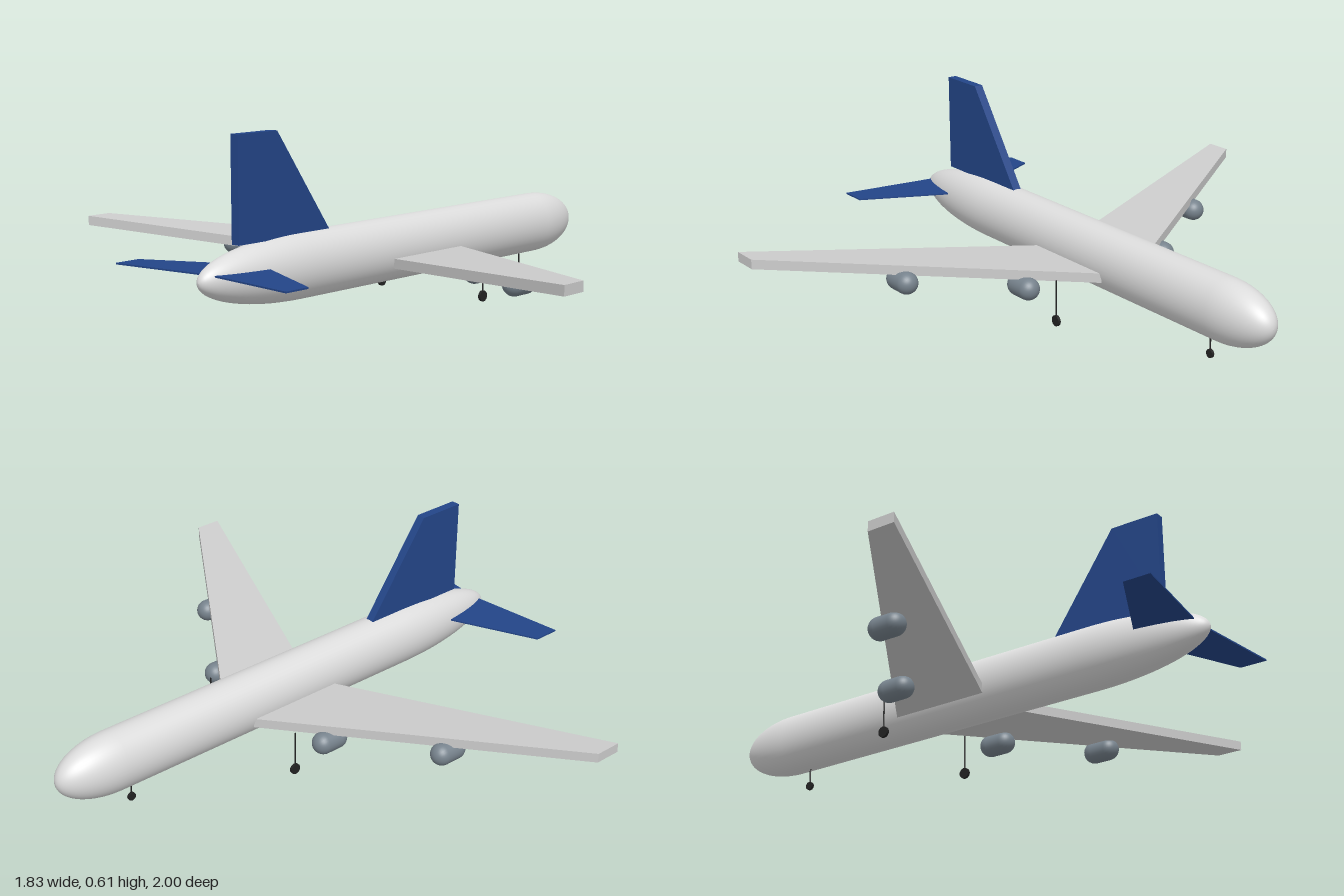
import * as THREE from 'three';

const material = (name, color) => {
  const m = new THREE.MeshStandardMaterial({ color });
  m.name = name;
  return m;
};

export function createModel() {
  const group = new THREE.Group();
  const hullPaint = material('hullLightGrey', 0xdcdcdc);
  const wingPaint = material('wingGrey', 0xcccccc);
  const tailPaint = material('tailBlue', 0x234588);
  const enginePaint = material('engineSteel', 0x77838d);
  const gearPaint = material('gearBlack', 0x222222);

  const add = (name, geometry, mat, x = 0, y = 0, z = 0) => {
    const mesh = new THREE.Mesh(geometry, mat);
    mesh.name = name;
    mesh.position.set(x, y, z);
    group.add(mesh);
    return mesh;
  };

  const outline = (points) => new THREE.Shape(points.map(([x, y]) => new THREE.Vector2(x, y)));

  // Flat slab from (x, span) corners, laid level and raised by a dihedral rule
  const slab = (points, side, thickness, height) => {
    const shape = outline(points.map(([x, s]) => [x, s * side]));
    const g = new THREE.ExtrudeGeometry(shape, { depth: thickness, bevelEnabled: false });
    g.translate(0, 0, -thickness / 2);
    g.rotateX(Math.PI / 2);
    const p = g.attributes.position;
    for (let i = 0; i < p.count; i++) p.setY(i, p.getY(i) + height(Math.abs(p.getZ(i))));
    g.computeVertexNormals();
    return g;
  };

  // Fuselage: long elliptical tail, straight barrel, short rounded nose
  const profile = [];
  const steps = 20;
  for (let i = 0; i <= steps; i++) {
    const a = (i / steps) * Math.PI / 2;
    profile.push(new THREE.Vector2(Math.sin(a), -0.5 - 0.41 * Math.cos(a)));
  }
  for (let i = 0; i <= steps; i++) {
    const a = (i / steps) * Math.PI / 2;
    profile.push(new THREE.Vector2(Math.max(0, Math.cos(a)), 0.7 + 0.21 * Math.sin(a)));
  }
  const hull = new THREE.LatheGeometry(profile, 48);
  hull.scale(0.104, 1, 0.087);
  hull.rotateZ(-Math.PI / 2);
  add('fuselage', hull, hullPaint, 0, 0.18, 0);

  // Upright fin
  const fin = new THREE.ExtrudeGeometry(
    outline([[-0.76, 0.275], [-0.365, 0.275], [-0.595, 0.605], [-0.76, 0.605]]),
    { depth: 0.03, bevelEnabled: false });
  add('tailFin', fin, tailPaint, 0, 0, -0.015);

  const wingCorners = [[-0.137, 0.08], [0.203, 0.08], [-0.405, 1], [-0.495, 1]];
  const tailCorners = [[-0.87, 0], [-0.655, 0], [-0.825, 0.36], [-0.915, 0.36]];

  for (const side of [1, -1]) {
    const label = side > 0 ? 'front' : 'rear';

    // Swept wing and tailplane
    add(label + 'Wing', slab(wingCorners, side, 0.032, (s) => 0.147 + (s - 0.08) * 0.083), wingPaint);
    add(label + 'Tailplane', slab(tailCorners, side, 0.005, () => 0.2), tailPaint);

    // Two engine pods under each wing
    for (const [name, x, y, z] of [['InnerEngine', 0.053, 0.12, 0.28], ['OuterEngine', -0.161, 0.15, 0.6]]) {
      const pod = new THREE.CapsuleGeometry(0.037, 0.053, 10, 28);
      pod.rotateZ(Math.PI / 2);
      add(label + name, pod, enginePaint, x, y, z * side);
    }
  }

  // Landing gear: thin strut and narrow wheel
  const gear = (name, x, z, top, radius) => {
    add(name + 'Strut', new THREE.CylinderGeometry(0.0025, 0.0025, top - radius, 8),
      gearPaint, x, (top + radius) / 2, z);
    const wheel = new THREE.CylinderGeometry(radius, radius, 0.009, 24);
    wheel.rotateX(Math.PI / 2);
    add(name + 'Wheel', wheel, gearPaint, x, radius, z);
  };
  gear('frontMainGear', 0.147, 0.22, 0.155, 0.018);
  gear('rearMainGear', 0.147, -0.22, 0.155, 0.018);
  gear('noseGear', 0.638, 0, 0.09, 0.014);

  return group;
}
